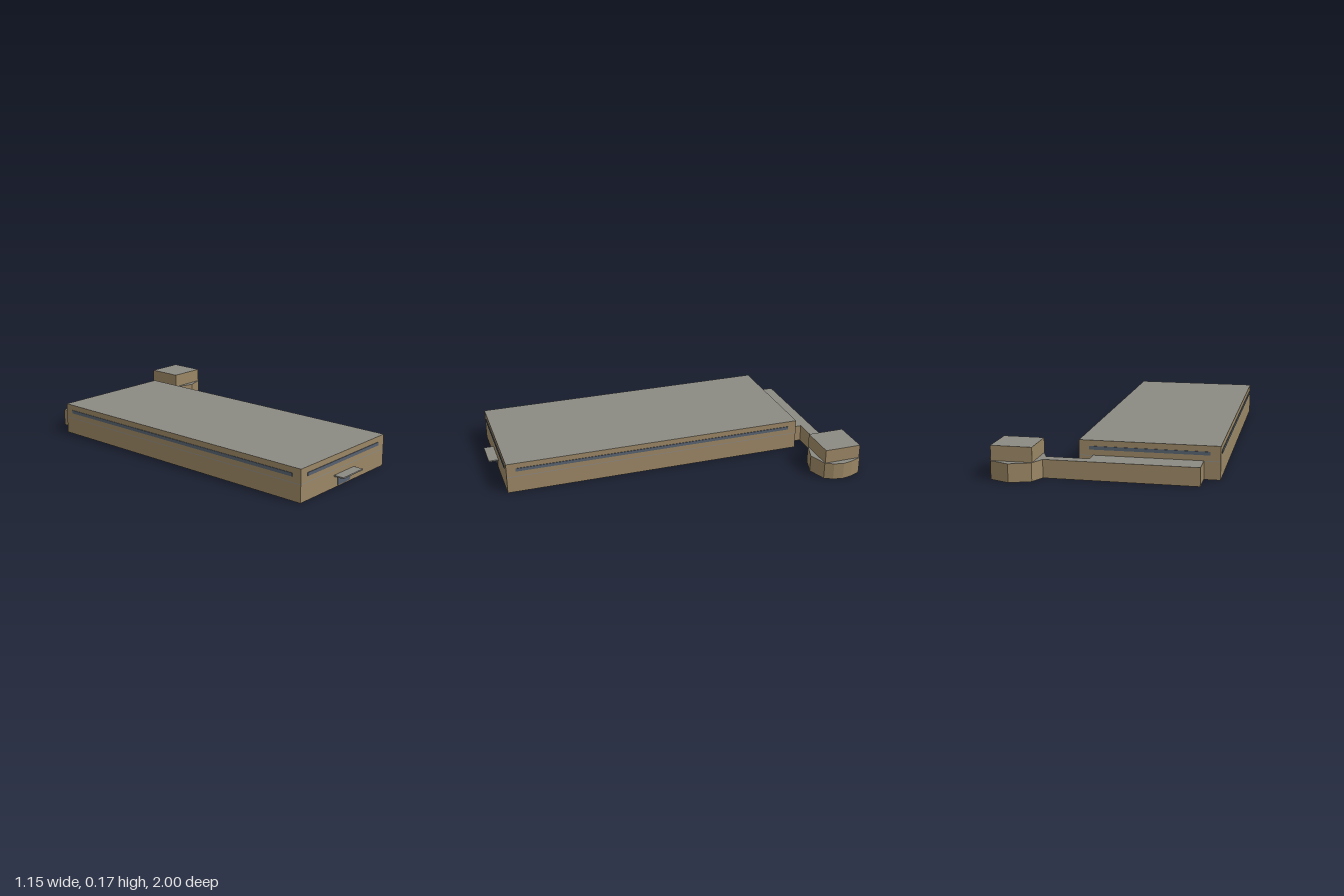
import * as THREE from 'three';

const mat = (name, color) => {
  const m = new THREE.MeshStandardMaterial({ color, side: THREE.DoubleSide });
  m.name = name;
  return m;
};

export function createModel() {
  const model = new THREE.Group();
  const tan = mat('tan wall', 0x9a8664);
  const grey = mat('grey roof', 0x8a8982);
  const blue = mat('blue glass', 0x56616f);
  const seamColor = mat('pale seam', 0x848b92);

  const add = (name, geometry, material, parent = model) => {
    const mesh = new THREE.Mesh(geometry, material);
    mesh.name = name;
    parent.add(mesh);
    return mesh;
  };

  // Upright walls along a path of [x, z] points, counter-clockwise from above
  const walls = (pts, y0, y1, closed = true) => {
    const pos = [];
    const n = closed ? pts.length : pts.length - 1;
    for (let i = 0; i < n; i++) {
      const [ax, az] = pts[i], [bx, bz] = pts[(i + 1) % pts.length];
      pos.push(ax, y0, az, bx, y0, bz, bx, y1, bz, ax, y0, az, bx, y1, bz, ax, y1, az);
    }
    const g = new THREE.BufferGeometry();
    g.setAttribute('position', new THREE.Float32BufferAttribute(pos, 3));
    g.computeVertexNormals();
    return g;
  };

  // Flat roof over a path, with an optional opening
  const roof = (pts, y, hole) => {
    const flat = (list) => list.map(([x, z]) => new THREE.Vector2(x, -z));
    const shape = new THREE.Shape(flat(pts));
    if (hole) shape.holes.push(new THREE.Path(flat(hole)));
    return new THREE.ShapeGeometry(shape).rotateX(-Math.PI / 2).translate(0, y, 0);
  };

  const rect = (x0, x1, z0, z1) => [[x0, z1], [x1, z1], [x1, z0], [x0, z0]];

  // Main hall: open-bottomed shell with a thin seam between storeys
  const X0 = -0.573, X1 = 0.142, Z0 = -0.755, Z1 = 0.945, H = 0.172, MID = 0.095;
  const hall = new THREE.Group();
  hall.name = 'mainHall';
  model.add(hall);
  const hallPlan = rect(X0, X1, Z0, Z1);
  add('lowerWalls', walls(hallPlan, 0, MID - 0.003), tan, hall);
  add('floorSeam', walls(hallPlan, MID - 0.003, MID), seamColor, hall);
  add('upperWalls', walls(hallPlan, MID, H), tan, hall);
  add('hallRoof', roof(hallPlan, H), grey, hall);

  // Window bands on all four sides
  const T = 0.003, bandY = 0.133, bandH = 0.018;
  const midX = (X0 + X1) / 2, midZ = (Z0 + Z1) / 2;
  for (const [name, z] of [['frontWindows', Z1 + T / 2], ['backWindows', Z0 - T / 2]]) {
    add(name, new THREE.BoxGeometry(0.612, bandH, T), blue, hall).position.set(midX, bandY, z);
  }
  for (const [name, x] of [['rightWindows', X0 - T / 2], ['leftWindows', X1 + T / 2]]) {
    add(name, new THREE.BoxGeometry(T, bandH, 1.6), blue, hall).position.set(x, bandY, midZ);
  }

  // Entrance with a thin canopy
  add('entranceDoor', new THREE.BoxGeometry(0.107, 0.048, T), blue).position.set(-0.215, 0.031, Z1 + T / 2);
  add('canopy', new THREE.BoxGeometry(0.172, 0.007, 0.055), grey).position.set(-0.215, 0.063, 0.9725);

  // Low rear annex that narrows into a link corridor
  const annex = [[-0.49, Z0], [0.07, Z0], [0.07, -0.825], [0.294, -0.825], [0.294, -0.885], [-0.49, -0.885]];
  add('annexFrontWalls', walls(annex.slice(1, 4), 0, MID, false), tan);
  add('annexBackWalls', walls([annex[4], annex[5], annex[0]], 0, MID, false), tan);
  add('annexRoof', roof(annex, MID), grey);

  // Faceted pavilion with a square tower rising through it
  const pavilion = [
    [0.436, -0.71], [0.538, -0.745], [0.563, -0.79], [0.573, -0.845], [0.563, -0.9], [0.538, -0.96],
    [0.436, -1], [0.328, -0.96], [0.294, -0.885], [0.294, -0.825], [0.328, -0.745],
  ];
  const tower = rect(0.326, 0.538, -0.955, -0.747);
  add('pavilionWalls', walls(pavilion, 0, MID), tan);
  const inner = rect(0.331, 0.533, -0.952, -0.75);
  add('pavilionRoof', roof(pavilion, MID, inner), grey);
  add('towerWalls', walls(tower, 0, H), tan);
  add('towerRoof', roof(tower, H), grey);

  return model;
}
